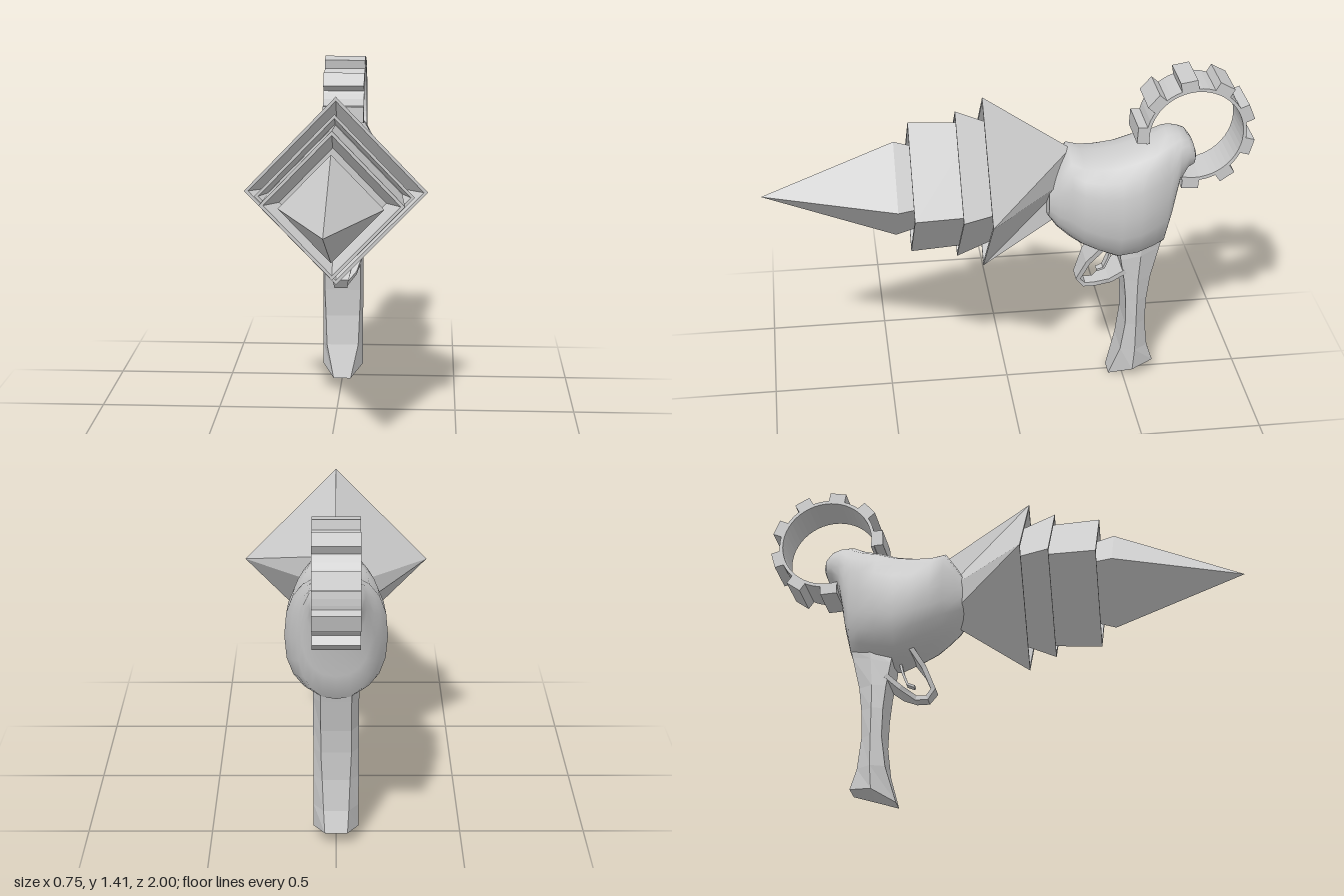
import * as THREE from 'three';

const AXIS_Y = 0.96; // height of the drill axis
const smooth = new THREE.MeshStandardMaterial({ color: 0xcccccc, side: THREE.DoubleSide });
const flat = new THREE.MeshStandardMaterial({ color: 0xcccccc, flatShading: true, side: THREE.DoubleSide });

function addMesh(parent, name, geometry, material) {
  const mesh = new THREE.Mesh(geometry, material);
  mesh.name = name;
  parent.add(mesh);
  return mesh;
}

// Skin a list of rings of [x, y, z] points and close both ends.
function loft(rings) {
  const n = rings[0].length, last = rings.length - 1;
  const points = rings.flat();
  const index = [];
  for (let i = 0; i < last; i++) {
    for (let j = 0; j < n; j++) {
      const k = (j + 1) % n, a = i * n + j, b = i * n + k;
      index.push(a, b, a + n, b, b + n, a + n);
    }
  }
  for (const end of [0, last]) {
    const start = points.length;
    const centre = [0, 1, 2].map(c => rings[end].reduce((s, p) => s + p[c] / n, 0));
    points.push(...rings[end], centre);
    for (let j = 0; j < n; j++) {
      const a = start + j, b = start + (j + 1) % n;
      if (end) index.push(start + n, a, b);
      else index.push(start + n, b, a);
    }
  }
  const g = new THREE.BufferGeometry();
  g.setAttribute('position', new THREE.Float32BufferAttribute(points.flat(), 3));
  g.setIndex(index);
  g.computeVertexNormals();
  return g;
}

// Four-sided tier from [radius, z] points, running back to front.
function tier(profile) {
  const g = new THREE.LatheGeometry(profile.map(([r, z]) => new THREE.Vector2(r, z)), 4);
  g.rotateX(Math.PI / 2);
  g.scale(0.965, 1, 1);
  g.translate(0, AXIS_Y, 0);
  return g;
}

function makeDrill() {
  const drill = new THREE.Group();
  drill.name = 'drill';
  addMesh(drill, 'drillTip', tier([[0, 0.3], [0.165, 0.3], [0.215, 0.46], [0, 1]]), flat);
  // Hollow cups with a thin rim, each holding the next tier
  addMesh(drill, 'drillTierFront', tier([[0, 0.12], [0.28, 0.12], [0.298, 0.4],
    [0.28, 0.4], [0.22, 0.33], [0, 0.33]]), flat);
  addMesh(drill, 'drillTierMiddle', tier([[0, 0.05], [0.265, 0.05], [0.335, 0.21],
    [0.318, 0.21], [0.285, 0.14], [0, 0.14]]), flat);
  // Rear tier narrows to a vertical edge inside the body
  const rear = tier([[0, -0.26], [0.14, -0.26], [0.39, 0.1], [0.372, 0.1], [0.3, 0.04], [0, 0.04]]);
  const p = rear.attributes.position;
  for (let i = 0; i < p.count; i++) if (p.getZ(i) < -0.2) p.setX(i, 0);
  addMesh(drill, 'drillTierRear', rear, flat);
  return drill;
}

function makeBody() {
  // z, top, bottom, half width
  const stations = [
    [-0.165, 0.98, 0.81, 0.085], [-0.2, 1.04, 0.76, 0.12], [-0.25, 1.11, 0.715, 0.155],
    [-0.3, 1.093, 0.68, 0.18], [-0.37, 1.09, 0.645, 0.195], [-0.45, 1.1, 0.61, 0.2],
    [-0.53, 1.125, 0.62, 0.2], [-0.6, 1.145, 0.64, 0.175], [-0.645, 1.168, 0.655, 0.15],
    [-0.67, 1.17, 0.76, 0.135], [-0.7, 1.165, 0.93, 0.115], [-0.735, 1.15, 1, 0.1],
    [-0.76, 1.115, 1.02, 0.09], [-0.77, 1.085, 1.045, 0.06]];
  const sides = 20;
  return loft(stations.map(([z, top, bottom, w]) => Array.from({ length: sides }, (_, j) => {
    const t = j / sides * Math.PI * 2, s = Math.sin(t), c = Math.cos(t);
    const x = Math.sign(s) * Math.abs(s) ** 0.85 * w;
    const y = (top + bottom) / 2 + Math.sign(c) * Math.abs(c) ** 0.85 * (top - bottom) / 2;
    return [x, y, z];
  })));
}

function makeHandle() {
  // front [y, z], middle y, back [y, z], front half width, back half width
  const rows = [
    [0.64, -0.465, 0.66, 0.68, -0.645, 0.075, 0.06], [0.6, -0.47, 0.62, 0.64, -0.635, 0.08, 0.06],
    [0.5, -0.487, 0.5, 0.5, -0.602, 0.08, 0.06], [0.4, -0.497, 0.4, 0.4, -0.59, 0.08, 0.06],
    [0.28, -0.5, 0.28, 0.28, -0.587, 0.075, 0.055], [0.15, -0.483, 0.15, 0.15, -0.602, 0.07, 0.05],
    [0.005, -0.44, 0.05, 0.065, -0.63, 0.038, 0.045]];
  return loft(rows.map(([fy, fz, my, by, bz, fw, bw]) => {
    const mz = (fz + bz) / 2;
    return [[fw, fy, fz], [-fw, fy, fz], [-0.09, my, mz], [-bw, by, bz], [bw, by, bz], [0.09, my, mz]];
  }));
}

// Flat band along [z, y, half width] points in the side plane
function band(path, thickness) {
  return loft(path.map(([z, y, w], i) => {
    const a = path[Math.max(i - 1, 0)], b = path[Math.min(i + 1, path.length - 1)];
    const len = Math.hypot(b[0] - a[0], b[1] - a[1]);
    const ny = (b[0] - a[0]) / len * thickness / 2, nz = -(b[1] - a[1]) / len * thickness / 2;
    return [[w, y + ny, z + nz], [-w, y + ny, z + nz], [-w, y - ny, z - nz], [w, y - ny, z - nz]];
  }));
}

function makeCogRing() {
  const ring = new THREE.Group();
  ring.name = 'cogRing';
  const width = 0.18, rad = Math.PI / 180;
  const from = -8 * rad, to = 285 * rad; // open where it meets the body
  const shape = new THREE.Shape();
  shape.absarc(0, 0, 0.207, from, to, false);
  shape.absarc(0, 0, 0.193, to, from, true);
  const g = new THREE.ExtrudeGeometry(shape, { depth: width, bevelEnabled: false, curveSegments: 20 });
  g.translate(0, 0, -width / 2);
  g.rotateY(-Math.PI / 2);
  addMesh(ring, 'ringBand', g, flat);
  for (let i = 0; i < 8; i++) {
    const a = (3 + i * 38.7) * rad;
    const tooth = addMesh(ring, 'ringTooth', new THREE.BoxGeometry(width, 0.07, 0.046), flat);
    tooth.position.set(0, 0.219 * Math.sin(a), 0.219 * Math.cos(a));
    tooth.rotation.x = -a;
  }
  ring.position.set(0, 1.172, -0.76);
  return ring;
}

export function createModel() {
  const model = new THREE.Group();
  model.name = 'drillPistol';
  model.add(makeDrill());
  addMesh(model, 'body', makeBody(), smooth);
  addMesh(model, 'handle', makeHandle(), flat);
  addMesh(model, 'triggerGuard', band([[-0.385, 0.66, 0.09], [-0.335, 0.585, 0.06], [-0.298, 0.495, 0.035],
    [-0.325, 0.46, 0.028], [-0.37, 0.46, 0.028], [-0.43, 0.495, 0.065], [-0.49, 0.545, 0.085]], 0.02), flat);
  addMesh(model, 'trigger', band([[-0.445, 0.64, 0.02], [-0.43, 0.58, 0.02], [-0.41, 0.53, 0.018],
    [-0.38, 0.518, 0.015]], 0.01), flat);
  model.add(makeCogRing());
  return model;
}
